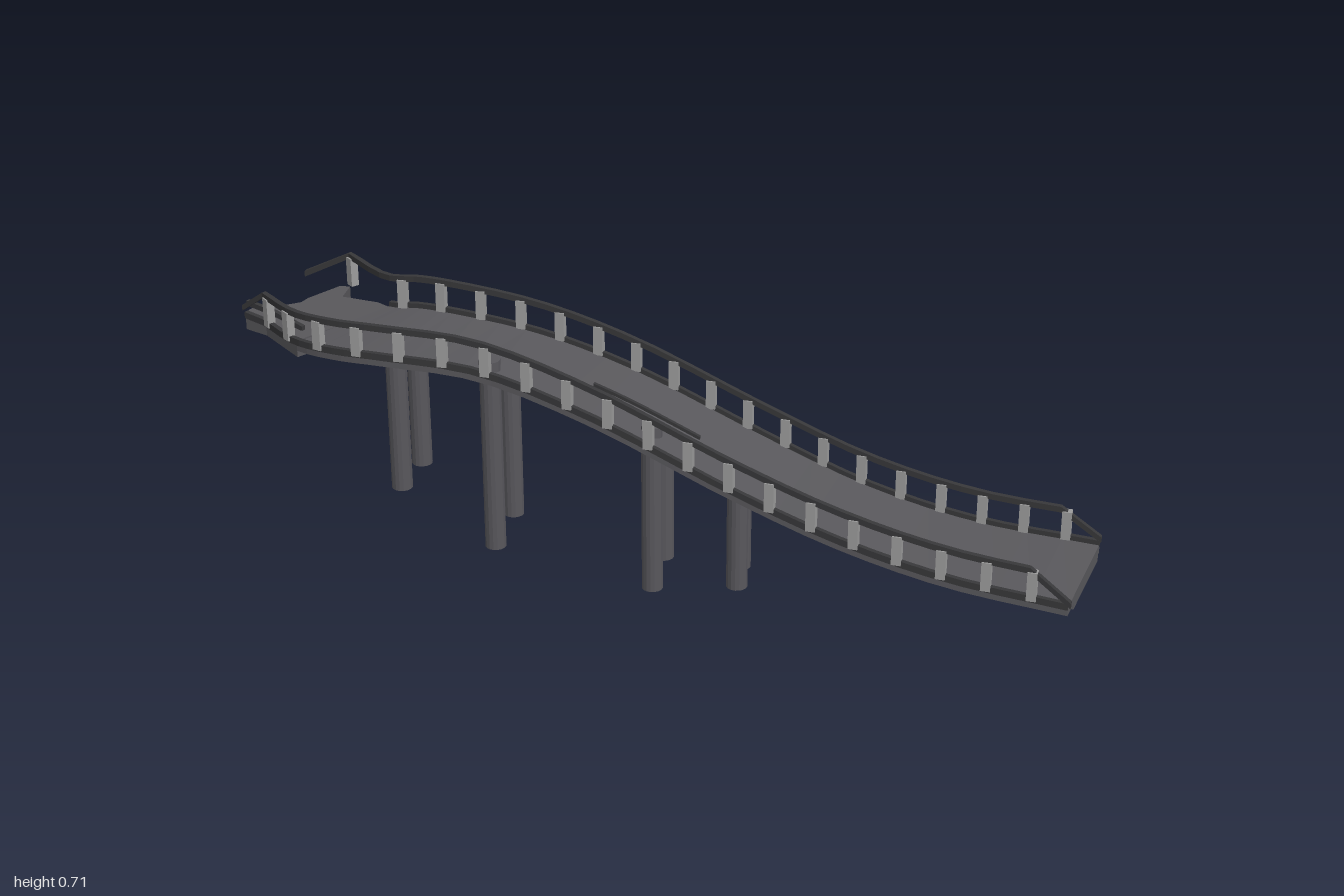
import * as THREE from 'three';

const mat = (name, color) => {
  const m = new THREE.MeshStandardMaterial({ color, flatShading: true, side: THREE.DoubleSide });
  m.name = name;
  return m;
};
const V = (x, y, z) => new THREE.Vector3(x, y, z);

// Stations from the high broken end to the low end: left x, y, z, then right x, y, z
const STATIONS = [
  [-0.75, 0.595, -0.82, -0.45, 0.61, -0.90], [-0.747, 0.602, -0.65, -0.44, 0.613, -0.70],
  [-0.70, 0.608, -0.53, -0.39, 0.619, -0.635], [-0.62, 0.61, -0.42, -0.33, 0.617, -0.555],
  [-0.45, 0.592, -0.24, -0.165, 0.578, -0.385], [-0.27, 0.513, 0, 0, 0.506, -0.18],
  [-0.04, 0.36, 0.29, 0.23, 0.355, 0.10], [0.13, 0.265, 0.52, 0.40, 0.255, 0.32],
  [0.30, 0.203, 0.74, 0.57, 0.198, 0.54], [0.495, 0.17, 0.98, 0.775, 0.177, 0.795],
];
const leftEdge = new THREE.CatmullRomCurve3(STATIONS.map(s => V(s[0], s[1], s[2])));
const rightEdge = new THREE.CatmullRomCurve3(STATIONS.map(s => V(s[3], s[4], s[5])));

// Point on the deck: u runs along it, s across it
const deckPoint = (u, s, dy = 0) =>
  leftEdge.getPoint(u).lerp(rightEdge.getPoint(u), s).add(V(0, dy, 0));
const range = (a, b, n) => Array.from({ length: n + 1 }, (_, i) => a + (b - a) * i / n);

// Skin four-cornered rings into a closed solid
function loft(rings) {
  const pos = [], n = 4;
  const tri = (...p) => p.forEach(v => pos.push(v.x, v.y, v.z));
  for (let k = 0; k < rings.length - 1; k++) {
    const a = rings[k], b = rings[k + 1];
    for (let i = 0; i < n; i++) {
      const j = (i + 1) % n;
      tri(a[i], b[i], a[j]);
      tri(a[j], b[i], b[j]);
    }
  }
  const f = rings[0], l = rings[rings.length - 1];
  tri(f[0], f[1], f[2]); tri(f[0], f[2], f[3]);
  tri(l[0], l[2], l[1]); tri(l[0], l[3], l[2]);
  const g = new THREE.BufferGeometry();
  g.setAttribute('position', new THREE.Float32BufferAttribute(pos, 3));
  g.computeVertexNormals();
  return g;
}

// Rectangular bar following a list of points
function bar(points, width, height) {
  return loft(points.map((p, i) => {
    const t = points[Math.min(i + 1, points.length - 1)].clone().sub(points[Math.max(i - 1, 0)]);
    const side = V(0, 1, 0).cross(t).normalize().multiplyScalar(width / 2);
    const up = V(0, height / 2, 0);
    return [p.clone().sub(side).add(up), p.clone().add(side).add(up),
      p.clone().add(side).sub(up), p.clone().sub(side).sub(up)];
  }));
}

// Slab between two fractions of the deck width
const slab = (u0, u1, s0, s1, top, bottom) => loft(range(u0, u1, 28).map(u =>
  [deckPoint(u, s0, top), deckPoint(u, s1, top), deckPoint(u, s1, bottom), deckPoint(u, s0, bottom)]));

export function createModel() {
  const model = new THREE.Group();
  model.name = 'brokenBridge';
  const deckGray = mat('deckGray', 0x58575b);
  const pillarGray = mat('pillarGray', 0x58575c);
  const railGray = mat('railGray', 0x373739);
  const postGray = mat('postGray', 0x9c9c9c);
  const add = (name, geometry, material, parent = model) => {
    const mesh = new THREE.Mesh(geometry, material);
    mesh.name = name;
    parent.add(mesh);
    return mesh;
  };

  // Road deck and the narrower girder below it
  add('deck', slab(1 / 9, 1, 0, 1, 0, -0.024), deckGray);
  add('girder', slab(1 / 9, 1, 0.2, 0.97, -0.015, -0.043), deckGray);

  // Ragged broken end
  const outline = [[-0.747, -0.65], [-0.75, -0.82], [-0.775, -0.89], [-0.755, -0.905], [-0.72, -0.917],
    [-0.69, -0.902], [-0.66, -0.877], [-0.62, -0.87], [-0.59, -0.885], [-0.48, -0.91],
    [-0.46, -0.89], [-0.51, -0.84], [-0.45, -0.75], [-0.44, -0.70]];
  const shape = new THREE.Shape(outline.map(([x, z]) => new THREE.Vector2(x, -z)));
  const broken = new THREE.ExtrudeGeometry(shape, { depth: 0.047, bevelEnabled: false });
  broken.rotateX(-Math.PI / 2).translate(0, 0.56, 0);
  add('brokenDeckEnd', broken, deckGray);

  // Kerbs, handrails and posts on both edges
  const sides = [
    { name: 'right', s: 0, edge: leftEdge, kerbStart: 0, posts: range(0.01, 0.96, 19),
      tail: V(-0.778, 0.625, -0.89), foot: V(0.495, 0.182, 0.99) },
    { name: 'left', s: 1, edge: rightEdge, kerbStart: 1 / 9, posts: [0.004, ...range(0.11, 0.96, 17)],
      tail: V(-0.54, 0.63, -0.995), foot: V(0.778, 0.192, 0.797) },
  ];
  for (const { name, s, edge, kerbStart, posts, tail, foot } of sides) {
    const rail = new THREE.Group();
    rail.name = name + 'Railing';
    model.add(rail);
    const kerbPath = range(kerbStart, 1, 32).map(u => deckPoint(u, s, 0.004));
    if (s === 0) kerbPath.unshift(V(-0.775, 0.605, -0.885));
    add('kerb', bar(kerbPath, 0.013, 0.018), railGray, rail);
    const railPath = range(0, 0.965, 32).map(u => deckPoint(u, s, 0.083));
    add('handrail', bar([tail, ...railPath, foot], 0.014, 0.016), railGray, rail);

    // Posts placed by arc length and turned along the edge
    for (const t of posts) {
      const p = edge.getPointAt(t), d = edge.getTangentAt(t);
      const post = add('post', new THREE.BoxGeometry(0.022, 0.08, 0.025), postGray, rail);
      post.position.set(p.x, p.y + 0.04, p.z);
      post.rotation.y = Math.atan2(d.x, d.z);
    }
  }

  // Support pillars: x, z, bottom, top
  const pillars = [
    [-0.555, -0.47, 0.20, 0.59], [-0.44, -0.565, 0.20, 0.59],
    [-0.40, -0.255, 0.07, 0.612], [-0.255, -0.40, 0.06, 0.575],
    [-0.117, 0.065, 0, 0.475], [-0.015, -0.03, 0.018, 0.42],
    [0.04, 0.225, 0.028, 0.34], [0.125, 0.125, 0.015, 0.34],
  ];
  for (const [x, z, bottom, top] of pillars) {
    add('pillar', new THREE.CylinderGeometry(0.028, 0.028, top - bottom, 16), pillarGray)
      .position.set(x, (top + bottom) / 2, z);
  }

  // Crack along the road and a loose bar at the broken end
  add('crack', bar(range(4.85 / 9, 5.65 / 9, 8).map(u => deckPoint(u, 0.47, 0.007)), 0.01, 0.009), railGray);
  add('looseBar', bar([V(-0.77, 0.64, -0.88), V(-0.735, 0.632, -0.79), V(-0.70, 0.612, -0.70)], 0.012, 0.014), railGray);
  return model;
}
